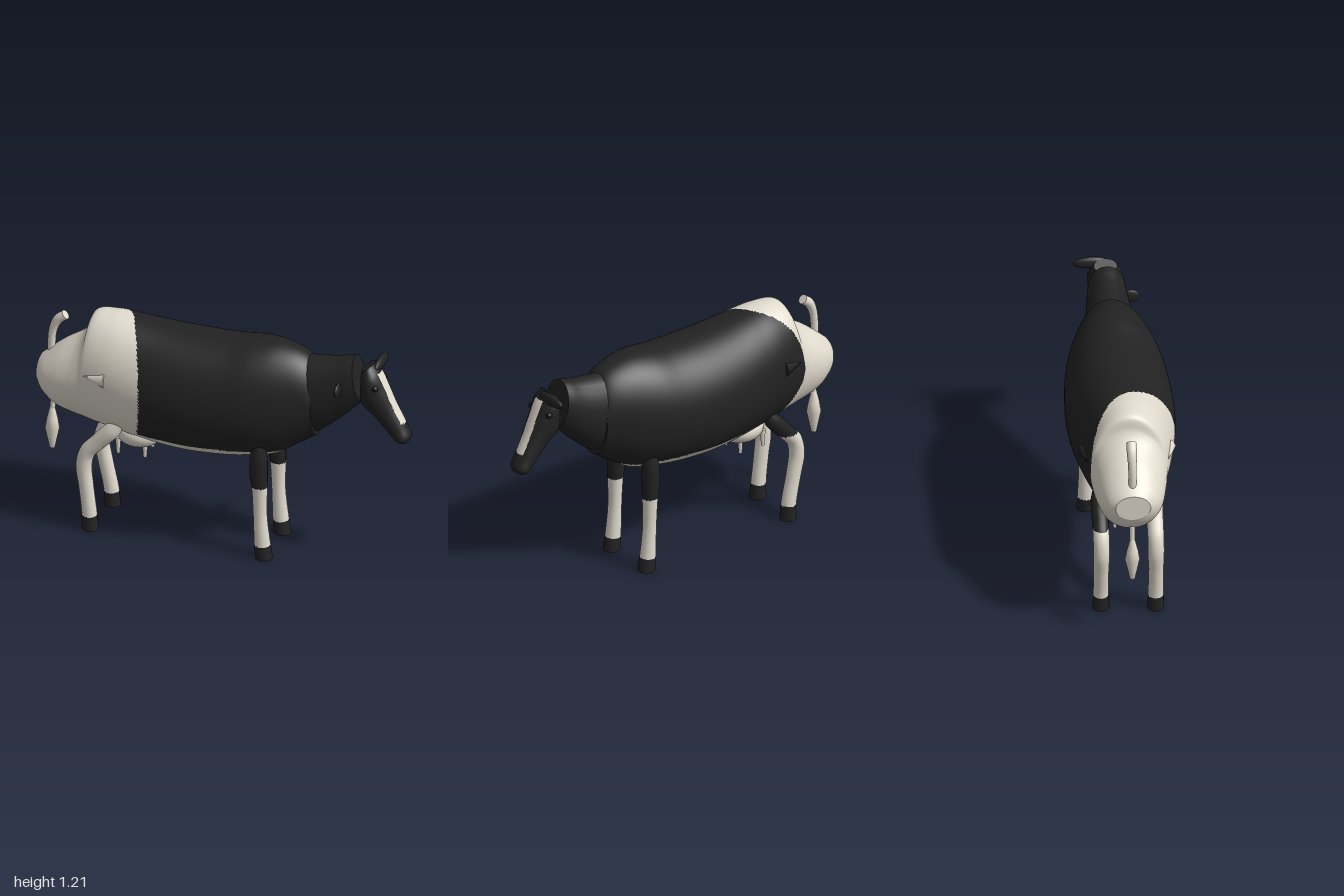
import * as THREE from 'three';

const paint = (name, color) => Object.assign(new THREE.MeshStandardMaterial({ color }), { name });
const black = paint('black hide', 0x222222);
const cream = paint('cream hide', 0xe0dacd);
const dark = paint('dark eye', 0x151515);

// Smooth skin over oval sections [lowX, lowY, highX, highY, halfWidth];
// pick(x, y, z, sin) returns the material of each small face.
function loft(name, sections, pick, { z0 = 0, steps = 8, sides = 24 } = {}) {
  const curve = (a) => new THREE.CatmullRomCurve3(
    sections.map((s) => new THREE.Vector3(s[a], s[a + 1], s[4])), false, 'centripetal');
  const low = curve(0), high = curve(2);
  const rings = (sections.length - 1) * steps;
  const pos = [], byMaterial = new Map();
  const ringPoints = (i) => {
    const a = low.getPoint(i / rings), b = high.getPoint(i / rings);
    const out = [];
    for (let j = 0; j < sides; j++) {
      const t = (j / sides) * Math.PI * 2, k = Math.sin(t) / 2;
      out.push([(a.x + b.x) / 2 + (b.x - a.x) * k, (a.y + b.y) / 2 + (b.y - a.y) * k,
        z0 + (a.z + b.z) / 2 * Math.cos(t)]);
    }
    return out;
  };
  const face = (a, b, c, sin) => {
    const mid = [0, 1, 2].map((k) => (pos[a * 3 + k] + pos[b * 3 + k] + pos[c * 3 + k]) / 3);
    const m = pick(...mid, sin);
    if (!byMaterial.has(m)) byMaterial.set(m, []);
    byMaterial.get(m).push(a, b, c);
  };
  for (let i = 0; i <= rings; i++) ringPoints(i).forEach((p) => pos.push(...p));
  for (let i = 0; i < rings; i++) {
    for (let j = 0; j < sides; j++) {
      const n = (j + 1) % sides, sin = Math.sin(((j + 0.5) / sides) * Math.PI * 2);
      const a = i * sides + j, b = i * sides + n;
      face(a, a + sides, b, sin);
      face(b, a + sides, b + sides, sin);
    }
  }
  // Flat end caps
  for (const i of [0, rings]) {
    const ring = ringPoints(i), base = pos.length / 3;
    ring.forEach((p) => pos.push(...p));
    for (let j = 1; j < sides - 1; j++) {
      if (i === 0) face(base, base + j, base + j + 1, 0);
      else face(base, base + j + 1, base + j, 0);
    }
  }
  const geo = new THREE.BufferGeometry();
  geo.setAttribute('position', new THREE.Float32BufferAttribute(pos, 3));
  const index = [], materials = [];
  for (const [m, list] of byMaterial) {
    geo.addGroup(index.length, list.length, materials.length);
    materials.push(m);
    for (const v of list) index.push(v);
  }
  geo.setIndex(index);
  geo.computeVertexNormals();
  const mesh = new THREE.Mesh(geo, materials);
  mesh.name = name;
  return mesh;
}

// Round limb along a path of [x, y, radius]
function limb(name, path, z0, pick, steps = 16, flatEnd = true) {
  const sections = path.map(([x, y, r], i) => {
    const p = path[Math.max(i - 1, 0)], n = path[Math.min(i + 1, path.length - 1)];
    const d = new THREE.Vector2(n[0] - p[0], n[1] - p[1]).normalize();
    if (flatEnd && i === path.length - 1) d.set(0, -1);
    return [x + d.y * r, y - d.x * r, x - d.y * r, y + d.x * r, r];
  });
  return loft(name, sections, pick, { z0, steps, sides: 16 });
}

function ball(name, material, [x, y, z], [sx, sy, sz], tilt = 0) {
  const mesh = new THREE.Mesh(new THREE.SphereGeometry(1, 20, 14), material);
  mesh.name = name;
  mesh.position.set(x, y, z);
  mesh.scale.set(sx, sy, sz);
  mesh.rotation.x = tilt;
  return mesh;
}

export function createModel() {
  const cow = new THREE.Group();
  cow.name = 'cow';

  // Barrel body with a slanted hide patch and pale belly
  const patchEdge = (z) => (z < 0 ? -0.5 + 0.5 * z - 3.5 * z * z : -0.5 + 0.43 * z);
  cow.add(loft('body', [
    [-1, 0.75, -1, 0.89, 0.09],
    [-0.97, 0.70, -0.96, 0.925, 0.13],
    [-0.9, 0.635, -0.88, 0.99, 0.165],
    [-0.82, 0.605, -0.77, 1.065, 0.187],
    [-0.76, 0.59, -0.733, 1.115, 0.195],
    [-0.71, 0.575, -0.71, 1.188, 0.202],
    [-0.6, 0.555, -0.6, 1.205, 0.228],
    [-0.48, 0.535, -0.48, 1.195, 0.25],
    [-0.33, 0.515, -0.33, 1.18, 0.27],
    [-0.15, 0.505, -0.15, 1.173, 0.28],
    [0.05, 0.515, 0.05, 1.177, 0.27],
    [0.18, 0.535, 0.18, 1.193, 0.252],
    [0.29, 0.56, 0.29, 1.193, 0.222],
    [0.4, 0.63, 0.4, 1.165, 0.18],
    [0.47, 0.675, 0.46, 1.13, 0.15],
    [0.5, 0.695, 0.495, 1.08, 0.135],
  ], (x, y, z) => (x > patchEdge(z) && y > 0.605 ? black : cream), { steps: 12, sides: 112 }));

  // Neck
  cow.add(loft('neck', [
    [0.42, 0.70, 0.42, 1.135, 0.135],
    [0.5, 0.715, 0.52, 1.145, 0.128],
    [0.61, 0.80, 0.61, 1.158, 0.112],
    [0.69, 0.875, 0.665, 1.172, 0.102],
    [0.74, 0.93, 0.695, 1.178, 0.092],
  ], () => black));

  // Head with a pale blaze down the face
  cow.add(loft('head', [
    [0.735, 1.11, 0.8, 1.155, 0.06],
    [0.732, 1.03, 0.838, 1.105, 0.088],
    [0.735, 0.93, 0.875, 1.03, 0.087],
    [0.81, 0.855, 0.92, 0.93, 0.07],
    [0.885, 0.77, 0.975, 0.825, 0.06],
    [0.92, 0.737, 1, 0.768, 0.058],
    [0.95, 0.725, 0.992, 0.742, 0.04],
  ], (x, y, z, sin) => (sin > 0 && Math.abs(z - 0.003) < 0.031 && y > 0.84 && y < 1.11 ? cream : black),
  { steps: 14, sides: 80 }));

  // Ears and eyes
  cow.add(ball('rightEar', black, [0.812, 1.128, -0.07], [0.022, 0.033, 0.095]));
  cow.add(ball('leftEar', black, [0.642, 1.025, 0.115], [0.014, 0.038, 0.05]));
  for (const s of [-1, 1]) cow.add(ball('eye', dark, [0.828, 1.045, s * 0.073], [0.016, 0.016, 0.016]));

  // Hip bones
  for (const s of [-1, 1]) {
    const hip = new THREE.Mesh(new THREE.ConeGeometry(0.045, 0.12, 8), s > 0 ? cream : black);
    hip.name = 'hipBone';
    hip.position.set(-0.645, 0.915, s * 0.207);
    hip.rotation.z = Math.PI / 2;
    cow.add(hip);
  }

  // Legs
  for (const s of [-1, 1]) {
    cow.add(limb('frontLeg', [
      [0.225, 0.68, 0.03], [0.225, 0.57, 0.046], [0.225, 0.48, 0.047], [0.23, 0.4, 0.041],
      [0.233, 0.25, 0.036], [0.243, 0.1, 0.041], [0.253, 0, 0.046],
    ], s * 0.145, (x, y) => (y > 0.41 || y < 0.075 ? black : cream)));

    const shift = s > 0 ? 0 : 0.022;
    cow.add(limb('hindLeg', [
      [-0.53, 0.64, 0.03], [-0.57, 0.59, 0.044], [-0.645, 0.51, 0.043], [-0.705, 0.44, 0.042],
      [-0.722, 0.36, 0.042], [-0.71 + shift * 0.4, 0.24, 0.039],
      [-0.693 + shift, 0.09, 0.04], [-0.688 + shift, 0, 0.044],
    ], s * 0.14, (x, y) => (y < 0.08 || (s < 0 && y > 0.49) ? black : cream)));
  }

  // Udder and teats
  cow.add(ball('udder', cream, [-0.47, 0.535, 0], [0.125, 0.08, 0.11]));
  for (const x of [-0.565, -0.42]) {
    for (const z of [-0.06, 0.06]) {
      const teat = new THREE.Mesh(new THREE.CylinderGeometry(0.015, 0.009, 0.09, 10), cream);
      teat.name = 'teat';
      teat.position.set(x, 0.465, z);
      cow.add(teat);
    }
  }

  // Arched tail with a tuft
  cow.add(limb('tail', [
    [-0.87, 1.138, 0.026], [-0.91, 1.105, 0.026], [-0.938, 1.04, 0.022], [-0.945, 0.9, 0.02],
    [-0.93, 0.76, 0.017], [-0.936, 0.66, 0.014], [-0.942, 0.57, 0.014],
  ], 0, () => cream, 8, false));
  const tuft = new THREE.Mesh(new THREE.LatheGeometry(
    [[0.001, 0.345], [0.014, 0.355], [0.038, 0.47], [0.03, 0.52], [0.012, 0.595], [0.001, 0.597]]
      .map(([r, y]) => new THREE.Vector2(r, y)), 12), cream);
  tuft.name = 'tailTuft';
  tuft.position.x = -0.942;
  cow.add(tuft);

  return cow;
}
